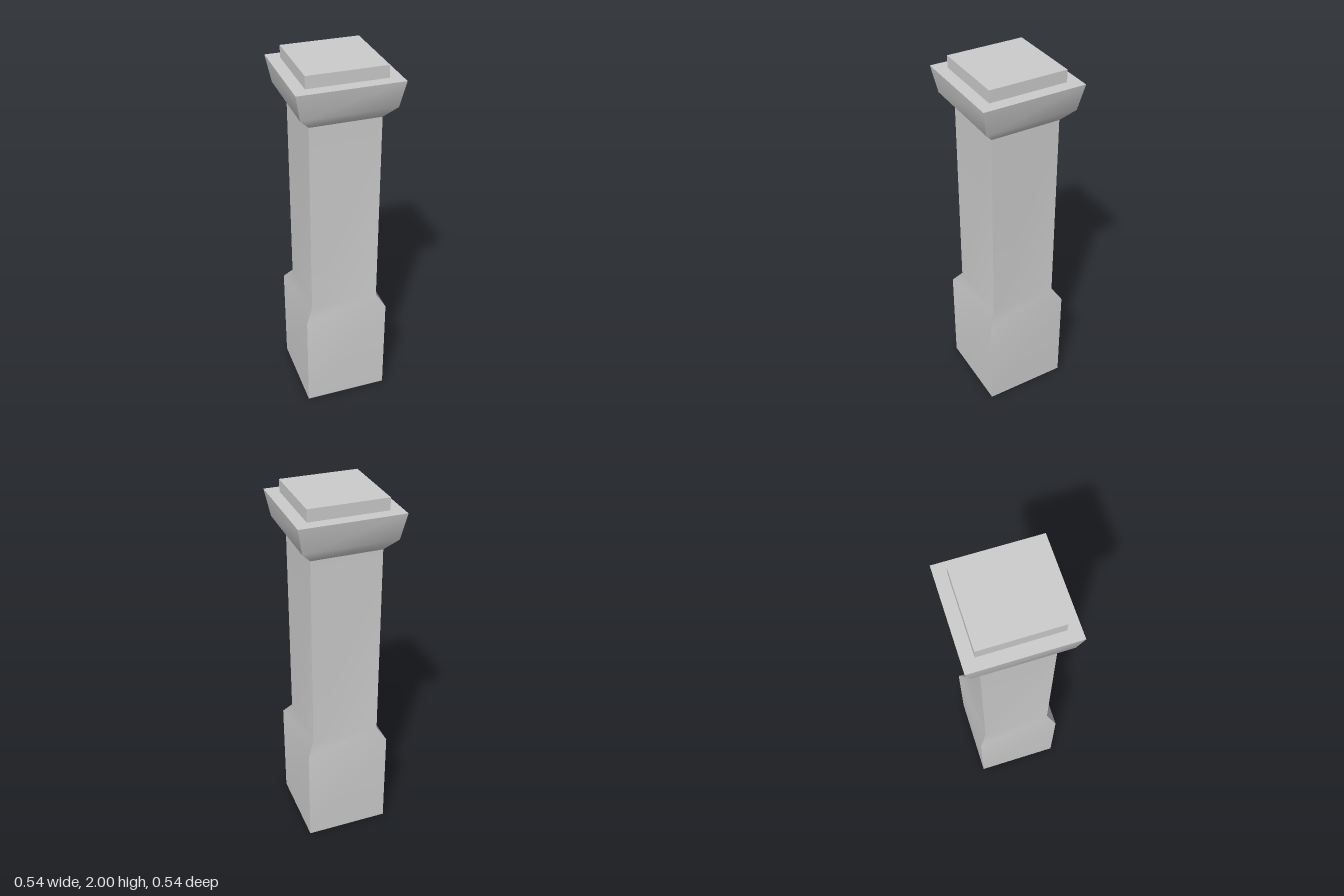
import * as THREE from 'three';
import { mergeGeometries } from 'three/addons/utils/BufferGeometryUtils.js';

// Square sleeve from [halfWidth, y] points: smooth along each side, sharp at the four corners
function squareSleeve(profile) {
  const sides = [];
  for (let s = 0; s < 4; s++) {
    const positions = [], index = [];
    profile.forEach(([r, y], i) => {
      positions.push(-r, y, r, r, y, r);
      if (i > 0) {
        const a = (i - 1) * 2;
        index.push(a, a + 1, a + 3, a, a + 3, a + 2);
      }
    });
    const side = new THREE.BufferGeometry();
    side.setAttribute('position', new THREE.Float32BufferAttribute(positions, 3));
    side.setIndex(index);
    side.computeVertexNormals();
    sides.push(side.rotateY(s * Math.PI / 2));
  }
  return mergeGeometries(sides);
}

export function createModel() {
  const model = new THREE.Group();
  model.name = 'pillar';
  const stone = new THREE.MeshStandardMaterial({ color: 0xcccccc, side: THREE.DoubleSide });
  stone.name = 'grey stone';

  const add = (name, geometry, y = 0) => {
    const mesh = new THREE.Mesh(geometry, stone);
    mesh.name = name;
    mesh.position.y = y;
    model.add(mesh);
  };

  // Hollow shaft with a wider base, open underneath
  add('shaft', squareSleeve([[0.231, 0], [0.231, 0.573], [0.188, 0.638], [0.188, 1.73]]));

  // Flared capital and its flat top ledge
  add('capital', squareSleeve([[0.188, 1.73], [0.246, 1.797], [0.272, 1.936]]));
  add('capitalLedge', new THREE.PlaneGeometry(0.544, 0.544).rotateX(-Math.PI / 2), 1.936);

  // Square block on top
  add('topBlockSides', squareSleeve([[0.208, 1.936], [0.208, 2]]));
  add('topBlockFace', new THREE.PlaneGeometry(0.416, 0.416).rotateX(-Math.PI / 2), 2);

  return model;
}
